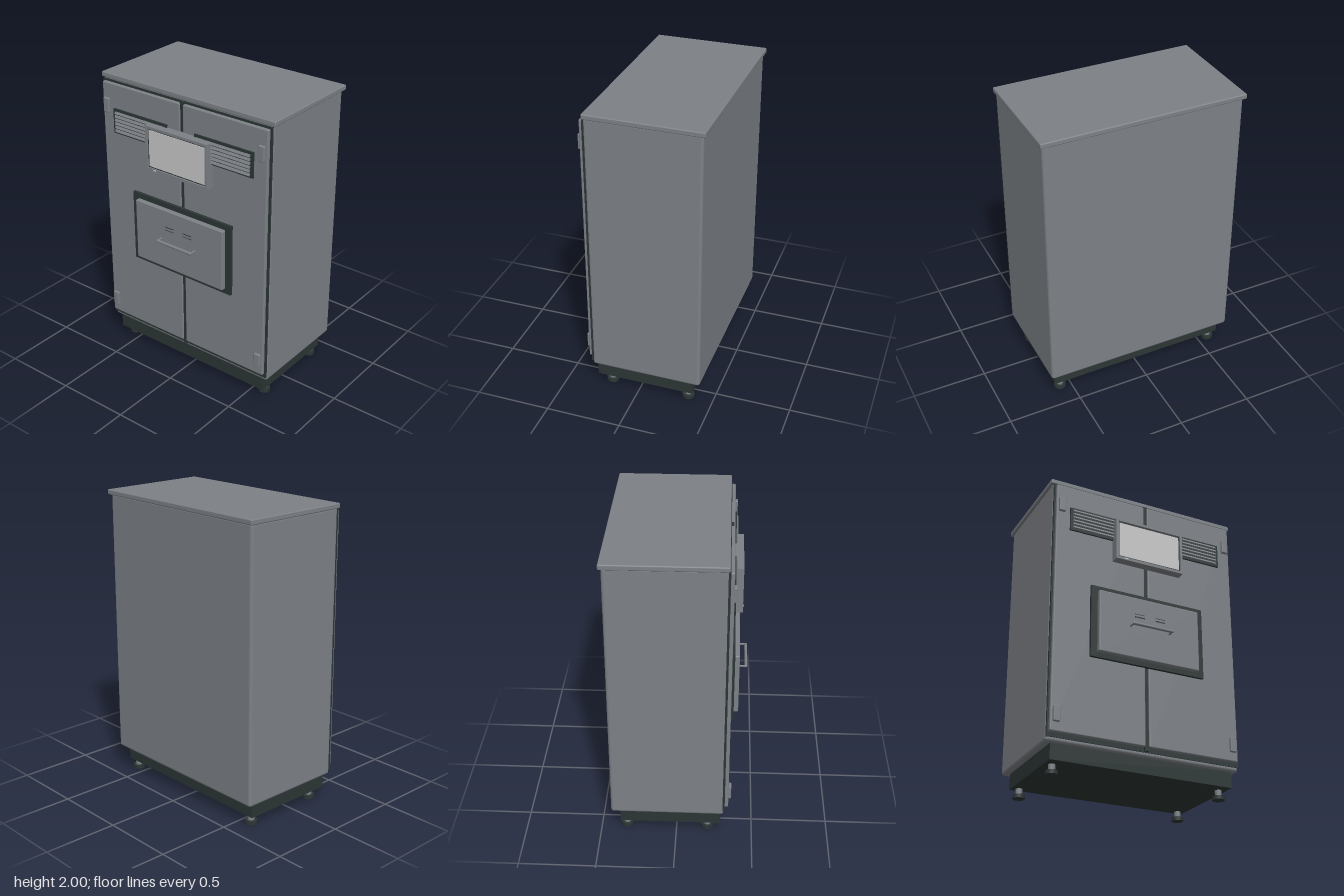
import * as THREE from 'three';
import { RoundedBoxGeometry } from 'three/addons/geometries/RoundedBoxGeometry.js';

export function createModel() {
  const model = new THREE.Group();
  const mat = (name, color) => {
    const m = new THREE.MeshStandardMaterial({ color });
    m.name = name;
    return m;
  };
  const steel = mat('grey steel', 0x7d8186);
  const dark = mat('dark trim', 0x2c3635);
  const glass = mat('pale screen', 0xc8c8c8);

  const add = (name, geometry, material, x = 0, y = 0, z = 0) => {
    const mesh = new THREE.Mesh(geometry, material);
    mesh.name = name;
    mesh.position.set(x, y, z);
    model.add(mesh);
    return mesh;
  };
  // Box given by its limits on each axis, with optional rounded edges
  const box = (name, material, x0, x1, y0, y1, z0, z1, r = 0) => {
    const size = [x1 - x0, y1 - y0, z1 - z0];
    const geometry = r ? new RoundedBoxGeometry(...size, 3, r) : new THREE.BoxGeometry(...size);
    return add(name, geometry, material, (x0 + x1) / 2, (y0 + y1) / 2, (z0 + z1) / 2);
  };

  // Cabinet shell, top and plinth
  box('cabinetBody', steel, -0.665, 0.665, 0.168, 1.975, -0.43, 0.312, 0.02);
  box('topSlab', steel, -0.68, 0.68, 1.965, 2, -0.446, 0.314, 0.008);
  box('plinth', dark, -0.625, 0.625, 0.065, 0.175, -0.37, 0.29);
  box('doorSurround', dark, -0.661, 0.661, 0.195, 1.963, 0.294, 0.318);
  box('centreSeal', dark, -0.016, 0.016, 0.2, 1.96, 0.31, 0.332);

  // Levelling feet
  for (const x of [-0.575, 0.575]) {
    for (const z of [-0.33, 0.205]) {
      add('footStem', new THREE.CylinderGeometry(0.022, 0.022, 0.06, 20), steel, x, 0.05, z);
      add('footPad', new THREE.CylinderGeometry(0.04, 0.04, 0.025, 24), dark, x, 0.0125, z);
    }
  }

  for (const s of [-1, 1]) {
    const mirrored = (name, material, a, b, ...rest) =>
      box(name, material, Math.min(s * a, s * b), Math.max(s * a, s * b), ...rest);
    // Door and its hinges
    mirrored('door', steel, 0.012, 0.65, 0.225, 1.95, 0.314, 0.341, 0.008);
    for (const y of [0.335, 1.797]) {
      mirrored('hinge', steel, 0.59, 0.635, y - 0.05, y + 0.05, 0.33, 0.358, 0.006);
    }
    // Louvred vent
    mirrored('ventPanel', dark, 0.11, 0.555, 1.62, 1.788, 0.335, 0.352);
    for (let i = 0; i < 6; i++) {
      const y = 1.641 + i * 0.0245;
      const slat = mirrored('ventSlat', steel, 0.125, 0.535, y - 0.009, y + 0.009, 0.352, 0.362);
      slat.rotation.x = -0.5;
    }
    // Drawer label slots
    mirrored('slotPlate', dark, 0.038, 0.11, 1.067, 1.093, 0.388, 0.391);
    mirrored('slotCover', steel, 0.038, 0.11, 1.073, 1.087, 0.389, 0.394);
  }

  // Drawer in its dark frame
  box('drawerFrame', dark, -0.402, 0.402, 0.75, 1.247, 0.335, 0.36);
  box('drawerFront', steel, -0.358, 0.358, 0.783, 1.21, 0.35, 0.39, 0.008);

  // Drawer handle with posts
  const bar = add('drawerHandle', new THREE.CapsuleGeometry(0.01, 0.272, 6, 14), steel, 0, 0.998, 0.435);
  bar.rotation.z = Math.PI / 2;
  for (const x of [-0.138, 0.138]) {
    const post = add('handlePost', new THREE.CylinderGeometry(0.006, 0.006, 0.05, 12), steel, x, 0.998, 0.41);
    post.rotation.x = Math.PI / 2;
  }

  // Display housing: raised rim, dark bezel and pale screen
  const rim = new THREE.Shape();
  rim.moveTo(-0.246, 1.465).lineTo(0.246, 1.465).lineTo(0.246, 1.768).lineTo(-0.246, 1.768).closePath();
  const hole = new THREE.Path();
  hole.moveTo(-0.23, 1.484).lineTo(-0.23, 1.751).lineTo(0.23, 1.751).lineTo(0.23, 1.484).closePath();
  rim.holes.push(hole);
  add('displayRim', new THREE.ExtrudeGeometry(rim, { depth: 0.062, bevelEnabled: false }), steel, 0, 0, 0.338);
  box('displayBezel', dark, -0.232, 0.232, 1.482, 1.753, 0.338, 0.39);
  box('displayScreen', glass, -0.221, 0.221, 1.493, 1.741, 0.388, 0.394);
  box('displayButton', glass, -0.186, -0.162, 1.471, 1.479, 0.398, 0.403);

  return model;
}
